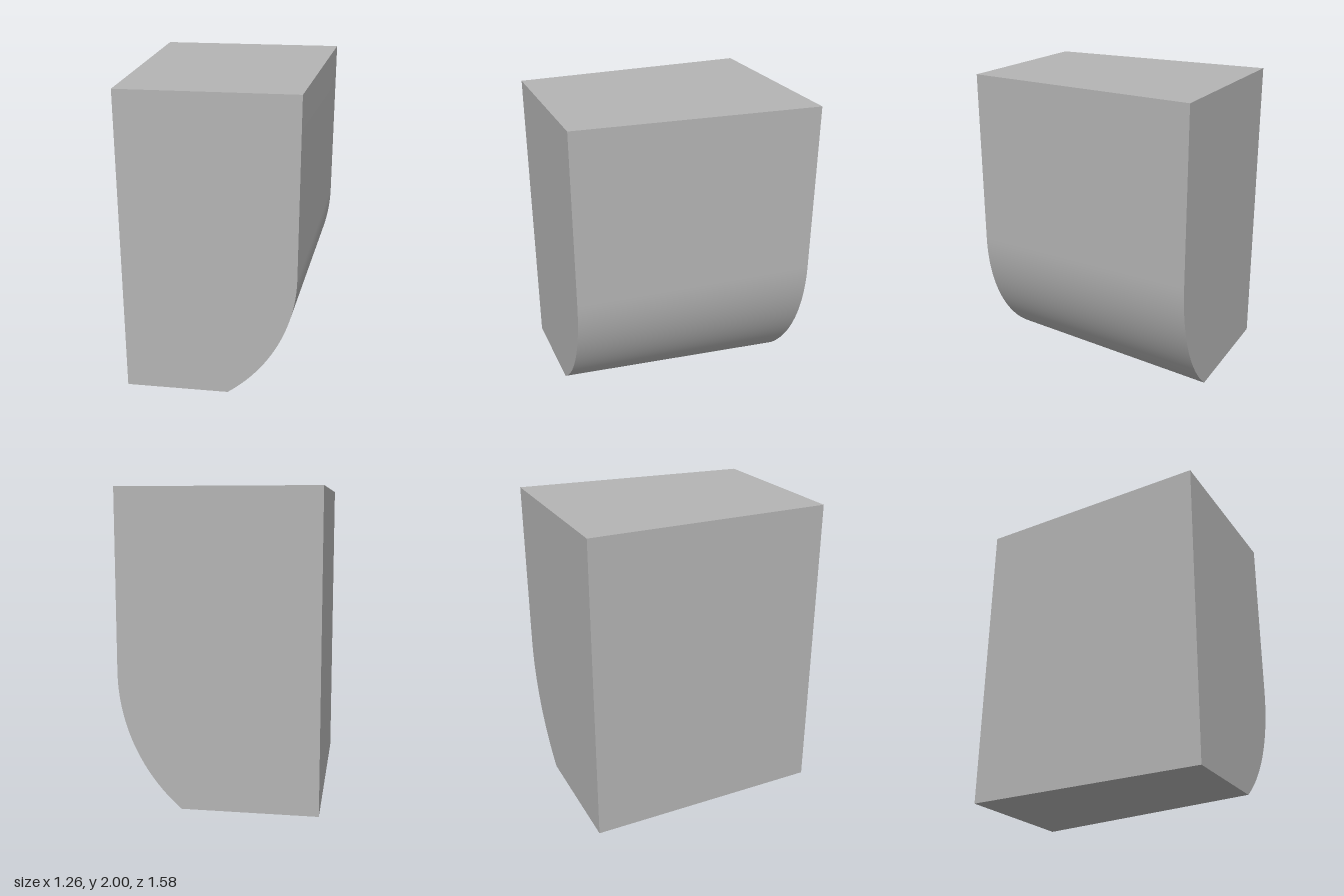
import * as THREE from 'three';
import { toCreasedNormals } from 'three/addons/utils/BufferGeometryUtils.js';

const LEFT = -0.63, TOP = 2, DEPTH = 0.79, STEPS = 32;

// Outline, anticlockwise from the lower left corner: flat foot, arc, straight wall, top
function outline(wallX, footX, arcTop, z) {
  const dx = wallX - footX;
  const sweep = 2 * Math.atan(dx / arcTop);
  const radius = arcTop / Math.sin(sweep);
  const points = [new THREE.Vector3(LEFT, 0, z)];
  for (let i = 0; i <= STEPS; i++) {
    const a = sweep * (1 - i / STEPS);
    points.push(new THREE.Vector3(
      wallX - radius * (1 - Math.cos(a)), arcTop - radius * Math.sin(a), z));
  }
  points.push(new THREE.Vector3(wallX, TOP, z), new THREE.Vector3(LEFT, TOP, z));
  return points;
}

// Solid between two matching convex outlines
function loft(front, back) {
  const n = front.length;
  const positions = [...front, ...back].flatMap((p) => p.toArray());
  const index = [];
  for (let i = 0; i < n; i++) {
    const j = (i + 1) % n;
    index.push(i, n + i, n + j, i, n + j, j);
  }
  for (let i = 1; i < n - 1; i++) {
    index.push(0, i, i + 1, n, n + i + 1, n + i);
  }
  const geometry = new THREE.BufferGeometry();
  geometry.setAttribute('position', new THREE.Float32BufferAttribute(positions, 3));
  geometry.setIndex(index);
  return toCreasedNormals(geometry, Math.PI / 6);
}

export function createModel() {
  const model = new THREE.Group();
  model.name = 'taperedBlock';

  const grey = new THREE.MeshStandardMaterial({ color: 0xb4b4b4 });
  grey.name = 'grey';

  // Block narrowing towards the front, with one rounded lower side
  const block = new THREE.Mesh(
    loft(outline(0.475, 0.04, 0.85, DEPTH), outline(0.63, 0.23, 0.87, -DEPTH)), grey);
  block.name = 'roundedBlock';
  model.add(block);
  return model;
}
